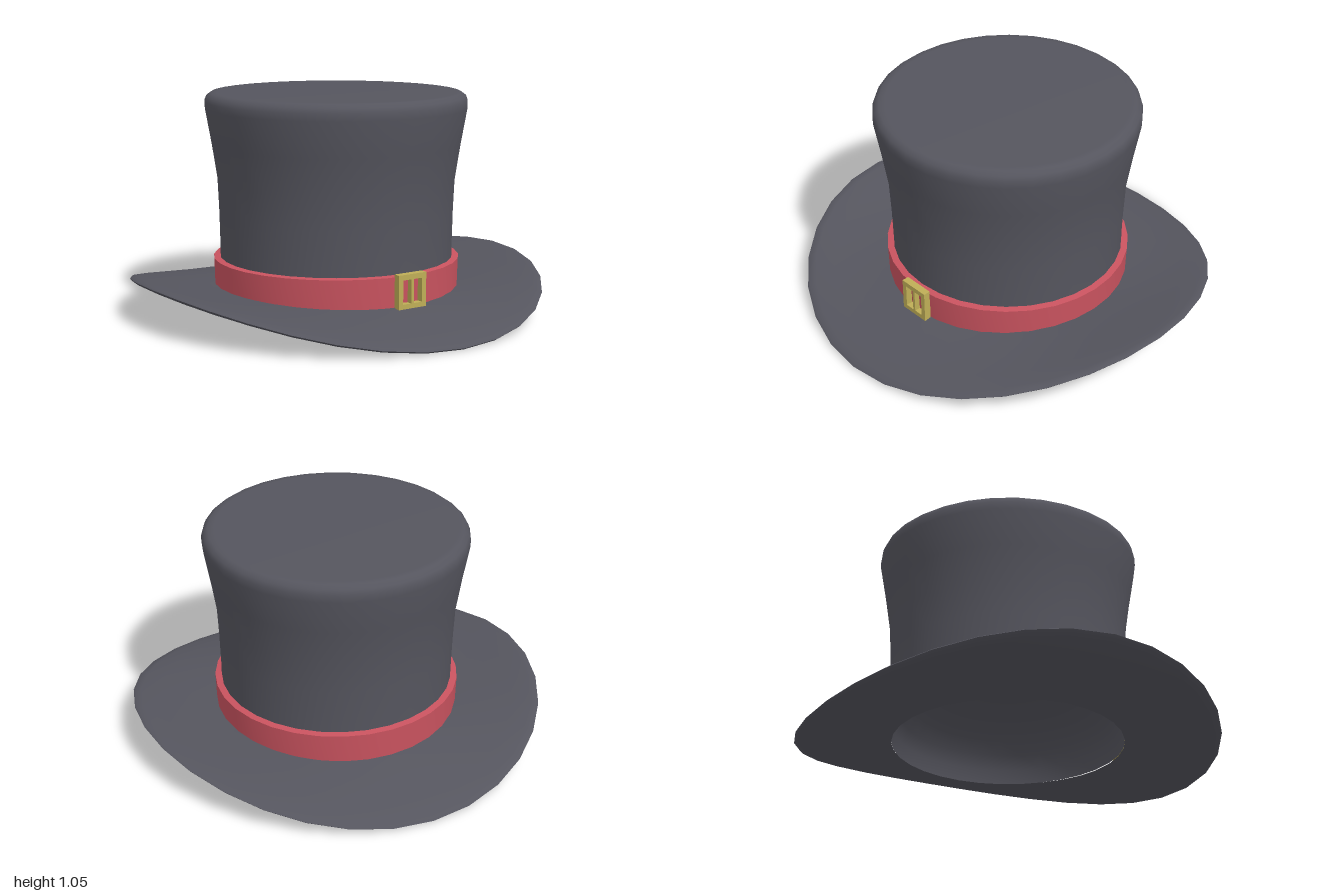
import * as THREE from 'three';
import { toCreasedNormals } from 'three/addons/utils/BufferGeometryUtils.js';

const SIDES = 32;

const felt = new THREE.MeshStandardMaterial({ color: 0x55555e });
felt.name = 'charcoal felt';
const ribbon = new THREE.MeshStandardMaterial({ color: 0xc9535f });
ribbon.name = 'red ribbon';
const brass = new THREE.MeshStandardMaterial({ color: 0xbfae57 });
brass.name = 'brass';

// Turn a list of [radius, height] around y, optionally bending it afterwards
function turned(name, profile, material, crease, bend) {
  const points = profile.map(([r, y]) => new THREE.Vector2(r, y));
  const geometry = new THREE.LatheGeometry(points, SIDES);
  if (bend) {
    const pos = geometry.attributes.position;
    for (let i = 0; i < pos.count; i++) {
      pos.setY(i, pos.getY(i) + bend(pos.getX(i), pos.getZ(i)));
    }
  }
  const mesh = new THREE.Mesh(toCreasedNormals(geometry, crease), material);
  mesh.name = name;
  return mesh;
}

// Brim curl: flat at the crown, up at the sides, down at front and back
function curl(x, z) {
  const r = Math.hypot(x, z);
  if (r < 0.5) return 0;
  const cos2 = (x * x - z * z) / (r * r);
  return 0.098 * Math.pow((r - 0.5) / 0.5, 1.4) * cos2;
}

function rectangle(Type, x0, y0, x1, y1) {
  const p = new Type();
  p.moveTo(x0, y0);
  p.lineTo(x1, y0);
  p.lineTo(x1, y1);
  p.lineTo(x0, y1);
  p.closePath();
  return p;
}

export function createModel() {
  const hat = new THREE.Group();
  hat.name = 'topHat';

  // Brim with a rounded outer edge
  hat.add(turned('brim', [
    [0.55, 0.065], [0.66, 0.07], [0.77, 0.077], [0.87, 0.085], [0.96, 0.094],
    [0.99, 0.102], [1, 0.112], [0.99, 0.12], [0.96, 0.125],
    [0.87, 0.127], [0.77, 0.128], [0.66, 0.129], [0.55, 0.13],
  ], felt, 1.0, curl));

  // Hollow inside, a rounded vault above the opening
  const vault = [];
  for (let i = 0; i <= 8; i++) {
    const a = (i / 8) * Math.PI / 2;
    vault.push([0.55 * Math.sin(a), 0.065 + 0.36 * Math.cos(a)]);
  }
  hat.add(turned('lining', vault, felt, 1.0));

  // Crown, flaring towards the bevelled top
  hat.add(turned('crown', [
    [0.565, 0.1], [0.563, 0.3], [0.567, 0.48], [0.574, 0.64], [0.6, 0.81],
    [0.63, 0.98], [0.631, 1.015], [0.622, 1.038], [0.6, 1.055], [0.57, 1.056], [0, 1.056],
  ], felt, 0.9));

  // Ribbon band
  hat.add(turned('band', [
    [0.59, 0.09], [0.595, 0.262], [0.56, 0.266],
  ], ribbon, 0.6));

  // Buckle frame with two openings either side of the bar
  const frame = rectangle(THREE.Shape, -0.077, 0.115, 0.077, 0.275);
  frame.holes.push(
    rectangle(THREE.Path, -0.053, 0.138, -0.007, 0.25),
    rectangle(THREE.Path, 0.007, 0.138, 0.053, 0.25),
  );
  const buckle = new THREE.Mesh(
    new THREE.ExtrudeGeometry(frame, { depth: 0.035, bevelEnabled: false }), brass);
  buckle.name = 'buckle';
  buckle.position.z = 0.585;
  hat.add(buckle);

  return hat;
}
